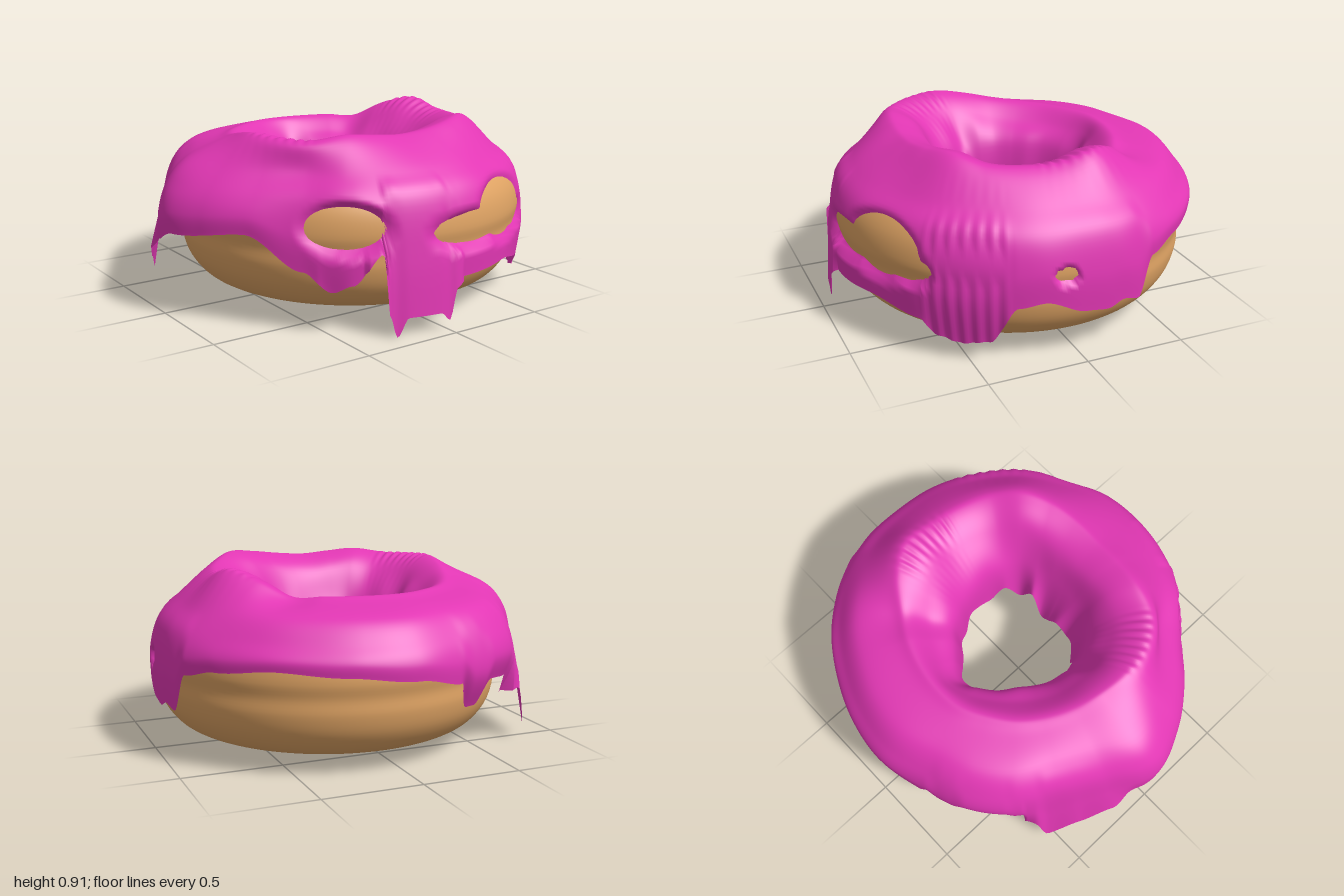
import * as THREE from 'three';

const RAD = Math.PI / 180;
const CENTER = { x: 0.077, z: 0.012 }; // the dough ring sits a little off the icing's middle
const smooth = (a, b, x) => THREE.MathUtils.smoothstep(x, a, b);
const lerp = THREE.MathUtils.lerp;

// Every table runs around the ring: 0 = front, 90 = +x, 180 = back, 270 = -x.
// Values every 15 degrees
const OUTER_R = [0.935, 0.95, 0.95, 0.97, 0.975, 0.985, 0.985, 1.0, 0.985, 0.97, 0.955, 0.955,
  0.955, 0.93, 0.94, 0.93, 0.9, 0.92, 1.0, 0.95, 0.89, 0.865, 0.905, 0.92];
const CREST_Y = [0.86, 0.87, 0.89, 0.905, 0.87, 0.86, 0.865, 0.9, 0.86, 0.79, 0.795, 0.795,
  0.795, 0.795, 0.795, 0.795, 0.8, 0.815, 0.845, 0.87, 0.865, 0.86, 0.88, 0.87];
const CREST_R = [0.52, 0.54, 0.57, 0.6, 0.62, 0.62, 0.62, 0.63, 0.6, 0.56, 0.54, 0.53,
  0.53, 0.53, 0.52, 0.52, 0.52, 0.53, 0.55, 0.58, 0.6, 0.6, 0.56, 0.53];
const INNER_R = [0.22, 0.23, 0.26, 0.3, 0.31, 0.31, 0.3, 0.3, 0.29, 0.3, 0.3, 0.33,
  0.38, 0.34, 0.31, 0.28, 0.28, 0.29, 0.295, 0.32, 0.29, 0.28, 0.26, 0.23];
const INNER_Y = [0.36, 0.33, 0.48, 0.36, 0.45, 0.36, 0.4, 0.42, 0.36, 0.4, 0.38, 0.46,
  0.56, 0.46, 0.4, 0.36, 0.4, 0.42, 0.36, 0.56, 0.34, 0.42, 0.38, 0.42];

// Lower rim of the icing with its drips: [degrees, height]
const RIM = [[0, 0.05], [2.5, 0.2], [6, 0.24], [25, 0.25], [43, 0.2], [47, 0.12], [55, 0.09], [63, 0.11],
  [71, 0.31], [78, 0.33], [90, 0.26], [96, 0.25], [101, 0.28], [106, 0.26], [111, 0.45], [122, 0.49],
  [140, 0.52], [160, 0.5], [180, 0.47], [196, 0.42], [201, 0.28], [205, 0.28], [210, 0.4], [222, 0.38],
  [226, 0.27], [232, 0.28], [236, 0.07], [246, 0.17], [256, 0.27], [266, 0.36], [275, 0.42], [298, 0.46],
  [316, 0.3], [325, 0.21], [331, 0.25], [339.5, 0.4], [341.5, 0.1], [343.5, 0], [347, 0.09], [357, 0.09],
  [360, 0.05]];

// Bare spots in the glaze: [degrees, height, half width in degrees, half height]
const SPOTS = [[329, 0.5, 12, 0.1], [12, 0.455, 15, 0.075], [28, 0.5, 13, 0.13], [38, 0.44, 8, 0.06], [84, 0.45, 3, 0.03]];

function ring(table, deg) {
  const n = table.length, s = deg / 360 * n, i = Math.floor(s), t = s - i;
  const [a, b, c, d] = [-1, 0, 1, 2].map(k => table[(i + k + n) % n]);
  return b + 0.5 * t * (c - a + t * (2 * a - 5 * b + 4 * c - d + t * (3 * (b - c) + d - a)));
}

function rimHeight(deg) {
  const i = Math.max(1, RIM.findIndex(p => p[0] >= deg));
  const [a, ya] = RIM[i - 1], [b, yb] = RIM[i];
  return lerp(ya, yb, smooth(a, b, deg));
}

// Distance of the dough's outer wall from the middle of the icing
const doughWall = (deg, y) =>
  0.888 - 1.8 * (y - 0.46) ** 2 + CENTER.x * Math.sin(deg * RAD) + CENTER.z * Math.cos(deg * RAD);

// Band that is 1 between a and b and fades over f degrees
const band = (deg, a, b, f) => smooth(a - f, a, deg) * (1 - smooth(b, b + f, deg));

// Cross-section of the icing at one angle, from the outer rim over the crest into the hole
function icingSection(deg) {
  const R = ring(OUTER_R, deg), cy = ring(CREST_Y, deg), cr = ring(CREST_R, deg);
  const ri = ring(INNER_R, deg), yi = ring(INNER_Y, deg), yb = rimHeight(deg);
  const flap = band(deg, 236, 256, 8) * 0.06;
  const frontDrip = deg > 335 || deg < 5 ? 0.02 : 0;
  const fold = band(deg, 46, 66, 4) * 0.004 * Math.sin(deg * 1.6);
  const wrinkle = (band(deg, 85, 112, 8) + band(deg, 290, 312, 8)) * 0.005 * Math.sin(deg * 1.4);
  const tuck = frontDrip || flap ? 0
    : 0.3 * Math.max(0, 0.25 - yb) + band(deg, 198, 230, 4) * 0.3 * Math.max(0, 0.5 - yb);
  const frontLip = 0.07 * Math.max(0, Math.cos(deg * RAD)) ** 2;
  return new THREE.SplineCurve([
    [R - tuck + flap + frontDrip + fold, yb],
    [R + fold + flap * 0.2, lerp(yb, 0.62, 0.5)],
    [R - 0.045 + fold, 0.625],
    [R - 0.15, 0.735],
    [cr + 0.08, cy - 0.015],
    [cr, cy + wrinkle],
    [lerp(cr, ri, 0.4), cy - 0.07],
    [ri + 0.035 + frontLip, 0.63],
    [ri, yi],
  ].map(p => new THREE.Vector2(...p)));
}

function icingGeometry() {
  const cols = 480, rows = 64, pos = [], index = [];
  for (let i = 0; i < cols; i++) {
    const deg = i / cols * 360, curve = icingSection(deg);
    for (let j = 0; j <= rows; j++) {
      const p = curve.getPoint(j / rows);
      if (j < rows / 2 && p.y < 0.68) {
        // keep the glaze outside the dough, but let it sink in at the bare spots
        const wall = doughWall(deg, p.y);
        let sink = 0;
        for (const [a, y, w, h] of SPOTS) {
          const da = (deg - a + 540) % 360 - 180;
          sink = Math.max(sink, 1 - smooth(0.75, 1.4, Math.hypot(da / w, (p.y - y) / h)));
        }
        p.x = lerp(Math.max(p.x, wall + 0.012), wall - 0.025, sink);
      }
      pos.push(p.x * Math.sin(deg * RAD), p.y, p.x * Math.cos(deg * RAD));
      if (j < rows) {
        const a = i * (rows + 1) + j, b = ((i + 1) % cols) * (rows + 1) + j;
        index.push(a, b, a + 1, b, b + 1, a + 1);
      }
    }
  }
  const g = new THREE.BufferGeometry();
  g.setAttribute('position', new THREE.Float32BufferAttribute(pos, 3));
  g.setIndex(index);
  g.computeVertexNormals();
  return g;
}

function doughGeometry() {
  // closed ring profile: flat base, bulging wall with a slight waist, rounded top, flared hole
  const profile = new THREE.CatmullRomCurve3([
    [0.58, 0.065], [0.66, 0.065], [0.77, 0.11], [0.845, 0.2], [0.875, 0.3], [0.875, 0.38], [0.888, 0.46],
    [0.865, 0.58], [0.79, 0.68], [0.67, 0.72], [0.57, 0.705], [0.485, 0.65], [0.42, 0.55], [0.385, 0.43],
    [0.4, 0.27], [0.45, 0.13], [0.51, 0.075],
  ].map(([r, y]) => new THREE.Vector3(r, y, 0)), true);
  const points = profile.getPoints(80).map(p => new THREE.Vector2(p.x, p.y));
  return new THREE.LatheGeometry(points, 128).translate(CENTER.x, 0, CENTER.z);
}

export function createModel() {
  const group = new THREE.Group();
  group.name = 'donut';
  const add = (name, geometry, color, side) => {
    const mesh = new THREE.Mesh(geometry, new THREE.MeshStandardMaterial({ color, side }));
    mesh.name = name;
    group.add(mesh);
  };
  add('dough', doughGeometry(), 0xe0a464, THREE.FrontSide);
  add('icing', icingGeometry(), 0xe237b4, THREE.DoubleSide);
  return group;
}
